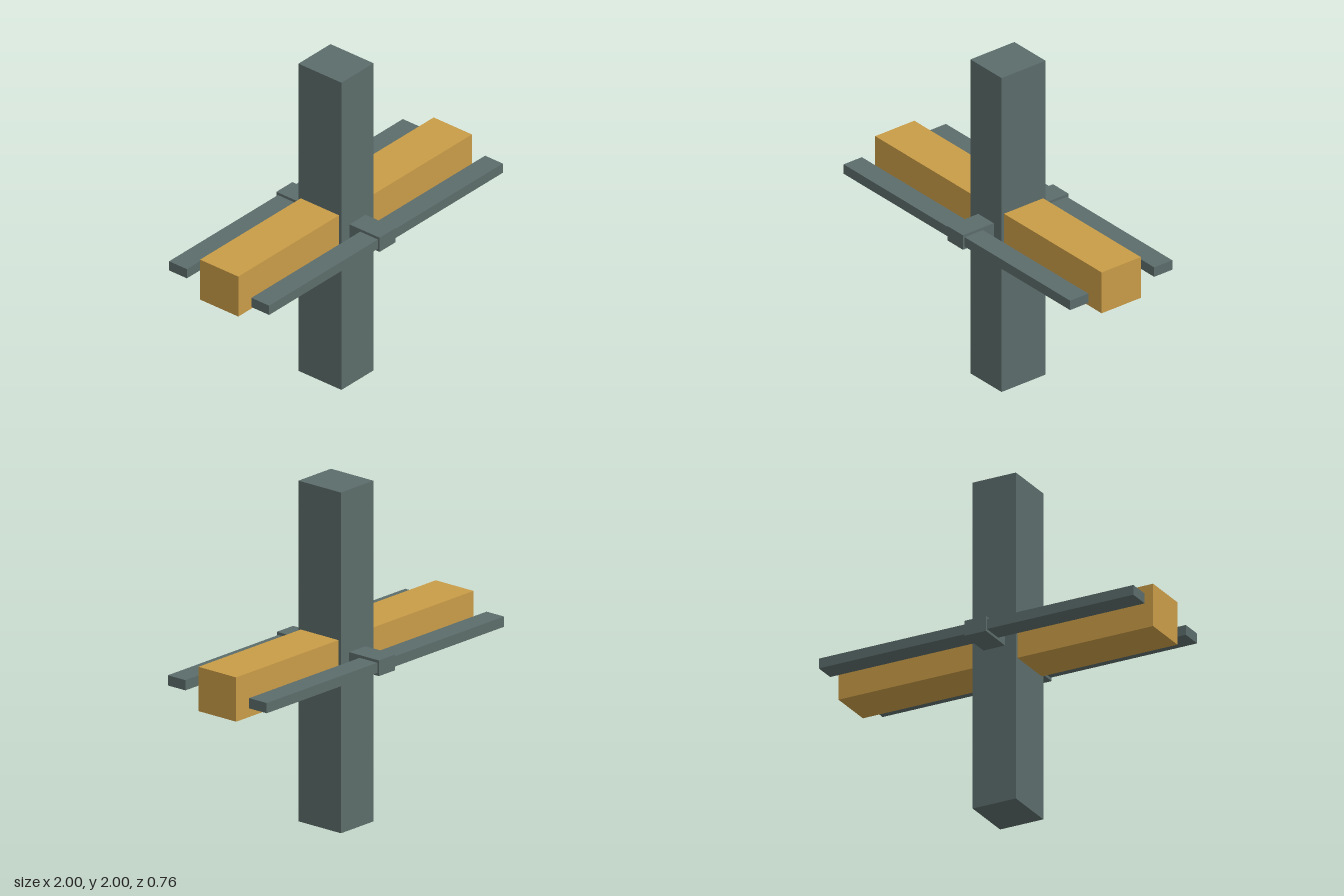
import * as THREE from 'three';

export function createModel() {
  const model = new THREE.Group();
  model.name = 'crossedBeams';

  const slate = new THREE.MeshStandardMaterial({ color: 0x5b6c6a });
  slate.name = 'slate grey';
  const ochre = new THREE.MeshStandardMaterial({ color: 0xc89b47 });
  ochre.name = 'ochre';

  const midHeight = 1;

  function addBox(name, material, width, height, depth, z = 0) {
    const mesh = new THREE.Mesh(new THREE.BoxGeometry(width, height, depth), material);
    mesh.name = name;
    mesh.position.set(0, midHeight, z);
    model.add(mesh);
  }

  // Upright post and the broad crossbeam passing through it
  addBox('post', slate, 0.275, 2, 0.315);
  addBox('crossbeam', ochre, 2, 0.26, 0.28);

  // Short spacer through the post, holding the two side rails
  addBox('spacer', slate, 0.137, 0.092, 0.756);

  // Slim rails, front and back
  for (const [name, side] of [['frontRail', 1], ['backRail', -1]]) {
    addBox(name, slate, 2, 0.06, 0.13, side * 0.301);
  }

  return model;
}
